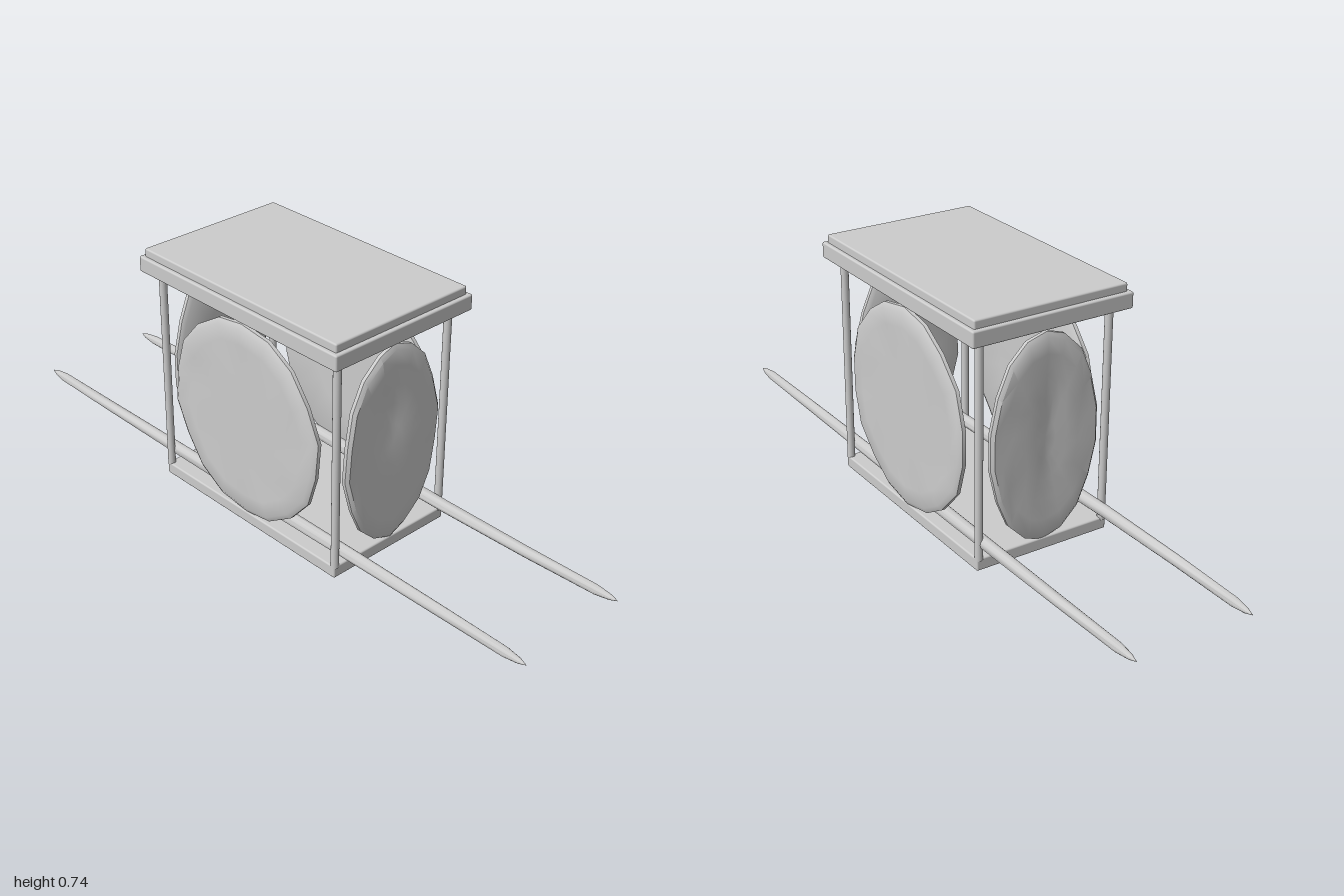
import * as THREE from 'three';
import { RoundedBoxGeometry } from 'three/addons/geometries/RoundedBoxGeometry.js';
import { toCreasedNormals } from 'three/addons/utils/BufferGeometryUtils.js';

const material = new THREE.MeshStandardMaterial({ color: 0xcccccc, side: THREE.DoubleSide });

function add(parent, name, geometry, x = 0, y = 0, z = 0) {
  const mesh = new THREE.Mesh(geometry, material);
  mesh.name = name;
  mesh.position.set(x, y, z);
  parent.add(mesh);
  return mesh;
}

// Rounded slab between two heights
function slab(parent, name, width, depth, y0, y1) {
  add(parent, name, new RoundedBoxGeometry(width, y1 - y0, depth, 2, 0.005), 0, (y0 + y1) / 2, 0);
}

// Thin oval panel facing +z: faceted rim, rough outline, shallow fold on its outer face
function panelGeometry(rx, ry, seed, fold) {
  const sides = 18, t = 0.014;
  const profile = [
    [0, -t], [0.5, -t], [0.94, -t], [1, -t * 0.4], [1, t * 0.4], [0.95, t],
    [0.8, t], [0.6, t], [0.4, t], [0.2, t], [0, t],
  ].map(([r, h]) => new THREE.Vector2(r, h));
  const geometry = new THREE.LatheGeometry(profile, sides);
  geometry.rotateX(Math.PI / 2);
  const p = geometry.attributes.position;
  for (let i = 0; i < p.count; i++) {
    const x = p.getX(i), y = p.getY(i), z = p.getZ(i);
    const a = Math.atan2(y, x), r = Math.hypot(x, y);
    const rough = 1 + 0.012 * r * Math.sin(5 * a + seed) * Math.cos(3 * a - seed);
    const dent = z > 0 ? fold.depth * Math.exp(-(((x - fold.x) / fold.w) ** 2) - ((y - fold.y) / fold.h) ** 2) : 0;
    const ripple = r > 0.7 ? 0.003 * Math.sin(7 * a + seed) : 0;
    p.setXYZ(i, x * rx * rough, y * ry * rough, z - dent + ripple);
  }
  return toCreasedNormals(geometry, 0.7);
}

// Carrying pole along z: pointed at both ends, bent slightly along its length
function poleGeometry(bend) {
  const profile = [
    [0, -1], [0.008, -0.975], [0.014, -0.93], [0.016, -0.7], [0.018, -0.4], [0.02, 0],
    [0.018, 0.4], [0.016, 0.7], [0.014, 0.93], [0.008, 0.975], [0, 1],
  ].map(([r, h]) => new THREE.Vector2(r, h));
  const geometry = new THREE.LatheGeometry(profile, 12);
  geometry.rotateX(Math.PI / 2);
  const p = geometry.attributes.position;
  for (let i = 0; i < p.count; i++) {
    const z = p.getZ(i);
    p.setX(i, p.getX(i) + bend * Math.sin(Math.PI * z) * 0.6);
    p.setY(i, p.getY(i) - 0.004 * Math.sin(Math.PI * z));
  }
  geometry.computeVertexNormals();
  return toCreasedNormals(geometry, 0.9);
}

export function createModel() {
  const model = new THREE.Group();
  model.name = 'litter';

  // Floor and two-step roof
  slab(model, 'floor', 0.43, 0.72, 0, 0.037);
  slab(model, 'roofEdge', 0.503, 0.79, 0.67, 0.717);
  slab(model, 'roofTop', 0.48, 0.765, 0.705, 0.741);

  // Corner posts
  const post = new THREE.CylinderGeometry(0.0115, 0.0115, 0.645, 16);
  for (const x of [-0.205, 0.205]) {
    for (const z of [-0.352, 0.352]) add(model, 'cornerPost', post, x, 0.353, z);
  }

  // Oval panels closing the four sides
  const panels = [
    ['frontPanel', 0.175, 0.305, 0, 0.352, 0, 0.4, { x: -0.1, y: 0.3, w: 0.35, h: 0.35, depth: 0.013 }],
    ['backPanel', 0.175, 0.307, 0, -0.352, Math.PI, 2.1, { x: 0.1, y: 0.1, w: 0.2, h: 0.6, depth: 0.01 }],
    ['leftPanel', 0.295, 0.303, 0.211, 0, Math.PI / 2, 1.2, { x: 0.75, y: 0, w: 0.15, h: 0.4, depth: 0.006 }],
    ['rightPanel', 0.295, 0.303, -0.211, 0, -Math.PI / 2, 3.3, { x: -0.75, y: 0, w: 0.15, h: 0.4, depth: 0.006 }],
  ];
  for (const [name, rx, ry, x, z, turn, seed, fold] of panels) {
    add(model, name, panelGeometry(rx, ry, seed, fold), x, 0.341, z).rotation.y = turn;
  }

  // Carrying poles
  add(model, 'leftPole', poleGeometry(-0.009), 0.185, 0.077, 0);
  add(model, 'rightPole', poleGeometry(0.009), -0.18, 0.075, 0);

  return model;
}
